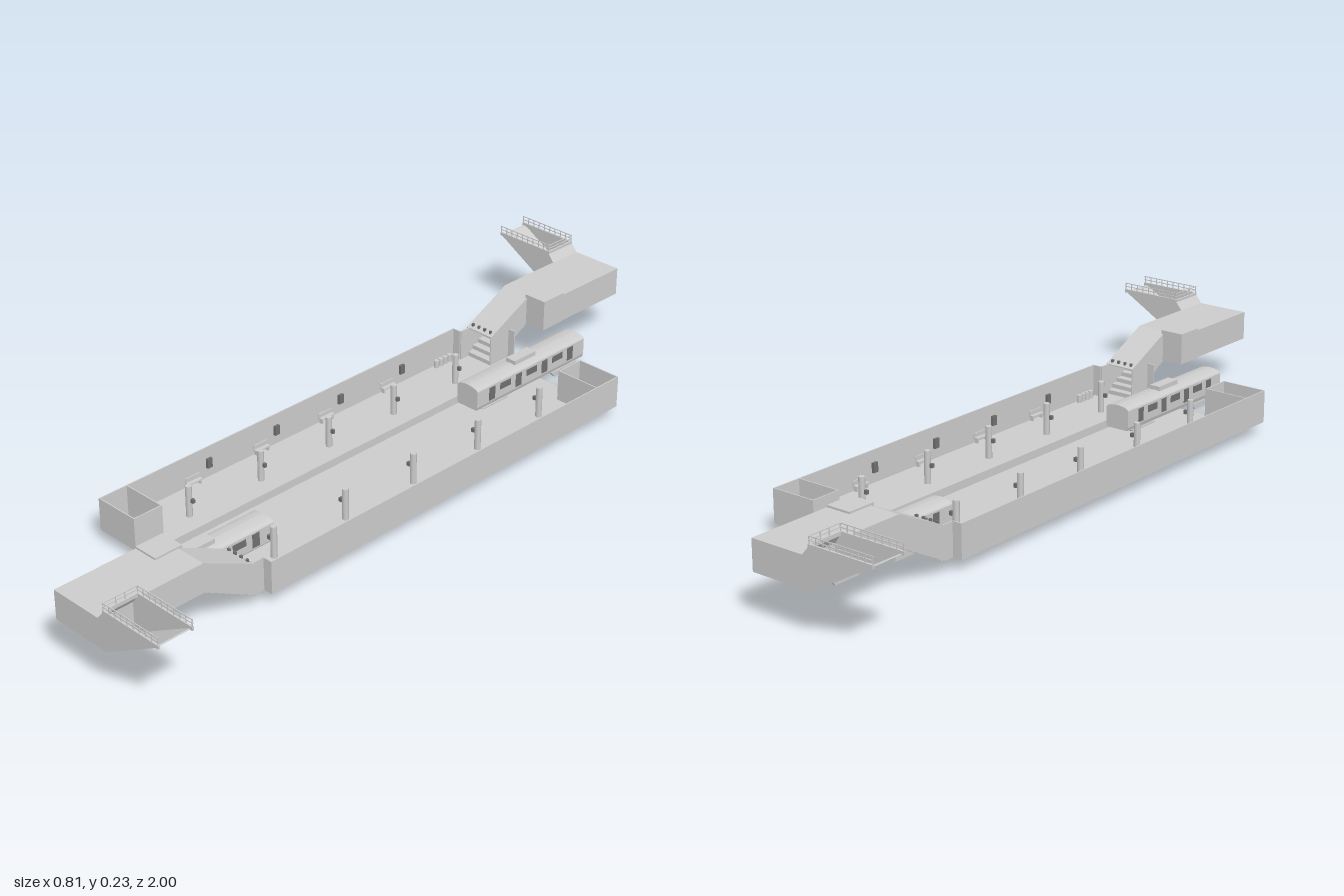
import * as THREE from 'three';

const concrete = new THREE.MeshStandardMaterial({ color: 0xcccccc, side: THREE.DoubleSide });
concrete.name = 'concreteGrey';
const opening = new THREE.MeshStandardMaterial({ color: 0x707070, side: THREE.DoubleSide });
opening.name = 'openingGrey';

function add(parent, name, geometry, material = concrete) {
  const mesh = new THREE.Mesh(geometry, material);
  mesh.name = name;
  parent.add(mesh);
  return mesh;
}

// Box given by its limits on each axis
function box(parent, name, x0, x1, y0, y1, z0, z1, material) {
  const mesh = add(parent, name, new THREE.BoxGeometry(x1 - x0, y1 - y0, z1 - z0), material);
  mesh.position.set((x0 + x1) / 2, (y0 + y1) / 2, (z0 + z1) / 2);
  return mesh;
}

function extrude(points, depth) {
  const shape = new THREE.Shape(points.map(([a, b]) => new THREE.Vector2(a, b)));
  return new THREE.ExtrudeGeometry(shape, { depth, bevelEnabled: false });
}

// Outline in (x, y) extruded from z0 to z1
function extrudeZ(parent, name, points, z0, z1) {
  const g = extrude(points, z1 - z0);
  g.translate(0, 0, z0);
  return add(parent, name, g);
}

// Outline in (z, y) extruded from x0 to x1
function extrudeX(parent, name, points, x0, x1) {
  const g = extrude(points.map(([z, y]) => [-z, y]), x1 - x0);
  g.rotateY(Math.PI / 2);
  g.translate(x0, 0, 0);
  return add(parent, name, g);
}

const T = 0.003, FLOOR = 0.033, TOP = 0.115;

function platform() {
  const g = new THREE.Group();
  g.name = 'platform';
  box(g, 'platformFloor', 0.08, 0.21, FLOOR - T, FLOOR, -0.64, 0.57);
  box(g, 'platformFloorEdge', 0.21, 0.235, FLOOR - T, FLOOR, -0.64, 0.54);
  box(g, 'platformFloorEnd', 0.08, 0.13, FLOOR - T, FLOOR, 0.57, 0.64);
  box(g, 'platformRiser', 0.08, 0.08 + T, 0.012, FLOOR, -0.64, 0.64);
  box(g, 'outerWall', 0.235 - T, 0.235, FLOOR, TOP, -0.64, 0.54);
  box(g, 'wallStep', 0.21, 0.235, FLOOR, TOP, 0.54 - T, 0.54);
  box(g, 'wallReturn', 0.21 - T, 0.21, FLOOR, TOP, 0.54, 0.58);
  box(g, 'frontEndWall', 0.11, 0.13, FLOOR, TOP, 0.64 - T, 0.64);
  box(g, 'stairSideWall', 0.13, 0.13 + T, FLOOR, TOP, 0.57, 0.64);
  // Service room at the far end
  box(g, 'rearEndWall', 0.11, 0.235, FLOOR, TOP, -0.64, -0.64 + T);
  box(g, 'roomSideWall', 0.11, 0.11 + T, FLOOR, TOP, -0.64, -0.56);
  box(g, 'roomPartition', 0.11, 0.235, FLOOR, TOP, -0.56, -0.56 + T);
  // Columns with small signs beside them
  for (let i = 0; i < 5; i++) {
    const z = -0.46 + i * 0.2245;
    const column = add(g, 'column', new THREE.CylinderGeometry(0.008, 0.008, TOP - FLOOR, 8));
    column.position.set(0.132, (TOP + FLOOR) / 2, z);
    box(g, 'columnSign', 0.114, 0.122, 0.075, 0.085, z - 0.004, z + 0.004, opening);
  }
  // Benches and panels along the wall
  for (let i = 0; i < 4; i++) {
    const z = -0.365 + i * 0.218;
    box(g, 'bench', 0.218, 0.232, 0.043, 0.047, z - 0.022, z + 0.022);
    for (const s of [-1, 1]) box(g, 'benchLeg', 0.22, 0.23, FLOOR, 0.043, z + s * 0.018 - 0.002, z + s * 0.018 + 0.002);
    box(g, 'benchBack', 0.229, 0.232, 0.047, 0.058, z - 0.022, z + 0.022);
    box(g, 'wallPanel', 0.225, 0.232, 0.06, 0.085, z + 0.045, z + 0.06, opening);
  }
  for (let i = 0; i < 4; i++) {
    const seat = add(g, 'stool', new THREE.CylinderGeometry(0.007, 0.007, 0.02, 8));
    seat.position.set(0.223, FLOOR + 0.01, 0.465 + i * 0.016);
  }
  return g;
}

function stairway() {
  const g = new THREE.Group();
  g.name = 'stairway';
  const side = [[0.57, 0.033], [0.715, 0.11], [0.715, 0.185], [0.57, 0.115]];
  extrudeX(g, 'innerSide', side, 0.13, 0.13 + T);
  extrudeX(g, 'outerSide', side, 0.215 - T, 0.215);
  extrudeX(g, 'stairRoof', [[0.57, 0.112], [0.715, 0.182], [0.715, 0.185], [0.57, 0.115]], 0.13, 0.215);
  // Stepped floor, stepped on both faces
  const n = 7, dz = 0.145 / n, dy = 0.077 / n, upper = [], lower = [];
  for (let i = 0; i < n; i++) {
    const z = 0.57 + i * dz, y = FLOOR + i * dy;
    upper.push([z, y], [z, y + dy]);
    lower.push([z + 0.002, y - 0.002], [z + 0.002, y + dy - 0.002]);
  }
  upper.push([0.715, 0.11]);
  lower.push([0.715, 0.108]);
  extrudeX(g, 'steps', [...upper, ...lower.reverse()], 0.13, 0.215);
  for (let i = 0; i < 4; i++) {
    const x = 0.142 + i * 0.02;
    box(g, 'roofPost', x - 0.003, x + 0.003, 0.114, 0.126, 0.577, 0.583, opening);
  }
  return g;
}

function concourse() {
  const g = new THREE.Group();
  g.name = 'concourse';
  box(g, 'hall', 0.07, 0.215, 0.11, 0.185, 0.715, 1);
  box(g, 'liftShaft', 0.07, 0.135, 0.108, 0.19, 0.705, 0.78);
  // Sloping way up to the street
  const side = [[0.215, 0.11], [0.235, 0.11], [0.4, 0.205], [0.23, 0.205], [0.215, 0.185]];
  extrudeZ(g, 'exitFrontSide', side, 1 - T, 1);
  extrudeZ(g, 'exitBackSide', side, 0.905, 0.905 + T);
  extrudeZ(g, 'exitRamp', [[0.215, 0.11], [0.235, 0.11], [0.4, 0.205], [0.395, 0.205], [0.234, 0.113], [0.215, 0.113]], 0.905, 1);
  extrudeZ(g, 'exitHeader', [[0.213, 0.185], [0.23, 0.205], [0.233, 0.205], [0.217, 0.182]], 0.905, 1);
  // Curb and railing around the opening
  for (const [z0, z1] of [[0.905, 0.91], [0.995, 1]]) {
    const z = (z0 + z1) / 2;
    box(g, 'curb', 0.23, 0.405, 0.203, 0.212, z0, z1);
    for (const y of [0.22, 0.229]) box(g, 'rail', 0.23, 0.405, y - 0.001, y + 0.001, z - 0.001, z + 0.001);
    for (let i = 0; i < 10; i++) {
      const x = 0.232 + i * 0.019;
      box(g, 'railPost', x - 0.001, x + 0.001, 0.21, 0.23, z - 0.001, z + 0.001);
    }
  }
  box(g, 'headCurb', 0.23, 0.235, 0.203, 0.212, 0.905, 1);
  for (const y of [0.22, 0.229]) box(g, 'headRail', 0.231, 0.233, y - 0.001, y + 0.001, 0.905, 1);
  for (const z of [0.94, 0.965]) box(g, 'headPost', 0.231, 0.233, 0.21, 0.23, z - 0.001, z + 0.001);
  return g;
}

function train() {
  const g = new THREE.Group();
  g.name = 'train';
  // Body with a curved roof
  const s = new THREE.Shape();
  s.moveTo(-0.031, 0.021);
  s.lineTo(0.031, 0.021);
  s.lineTo(0.034, 0.03);
  s.lineTo(0.034, 0.074);
  s.quadraticCurveTo(0.031, 0.083, 0, 0.085);
  s.quadraticCurveTo(-0.031, 0.083, -0.034, 0.074);
  s.lineTo(-0.034, 0.03);
  const body = new THREE.ExtrudeGeometry(s, { depth: 0.41, bevelEnabled: false, curveSegments: 6 });
  body.translate(0, 0, 0.385);
  add(g, 'carBody', body);
  box(g, 'roofUnit', -0.015, 0.015, 0.08, 0.095, 0.545, 0.625);
  // Wheel trucks
  for (const z of [0.46, 0.725]) {
    box(g, 'truckFrame', -0.026, 0.026, 0.012, 0.022, z - 0.045, z + 0.045);
    for (const x of [-0.024, 0.024]) {
      extrudeX(g, 'truckSide', [[z - 0.035, 0], [z + 0.035, 0], [z + 0.05, 0.016], [z - 0.05, 0.016]], x - 0.005, x + 0.005);
    }
  }
  // Side windows and doors
  for (const x of [-0.0343, 0.0343]) {
    for (let i = 0; i < 4; i++) {
      const z = 0.44 + i * 0.1;
      box(g, 'door', x - 0.0005, x + 0.0005, 0.034, 0.07, z - 0.011, z + 0.011, opening);
      if (i < 3) box(g, 'sideWindow', x - 0.0005, x + 0.0005, 0.05, 0.068, z + 0.03, z + 0.07, opening);
    }
  }
  g.position.x = 0.04;
  return g;
}

export function createModel() {
  const model = new THREE.Group();
  model.name = 'station';
  box(model, 'trackBed', -0.08, 0.08, 0.01, 0.012, -0.64, 0.64);
  // Two identical halves, turned half a revolution about the centre
  for (let i = 0; i < 2; i++) {
    const half = new THREE.Group();
    half.name = i ? 'rearHalf' : 'frontHalf';
    half.add(platform(), stairway(), concourse(), train());
    half.rotation.y = i * Math.PI;
    model.add(half);
  }
  return model;
}
